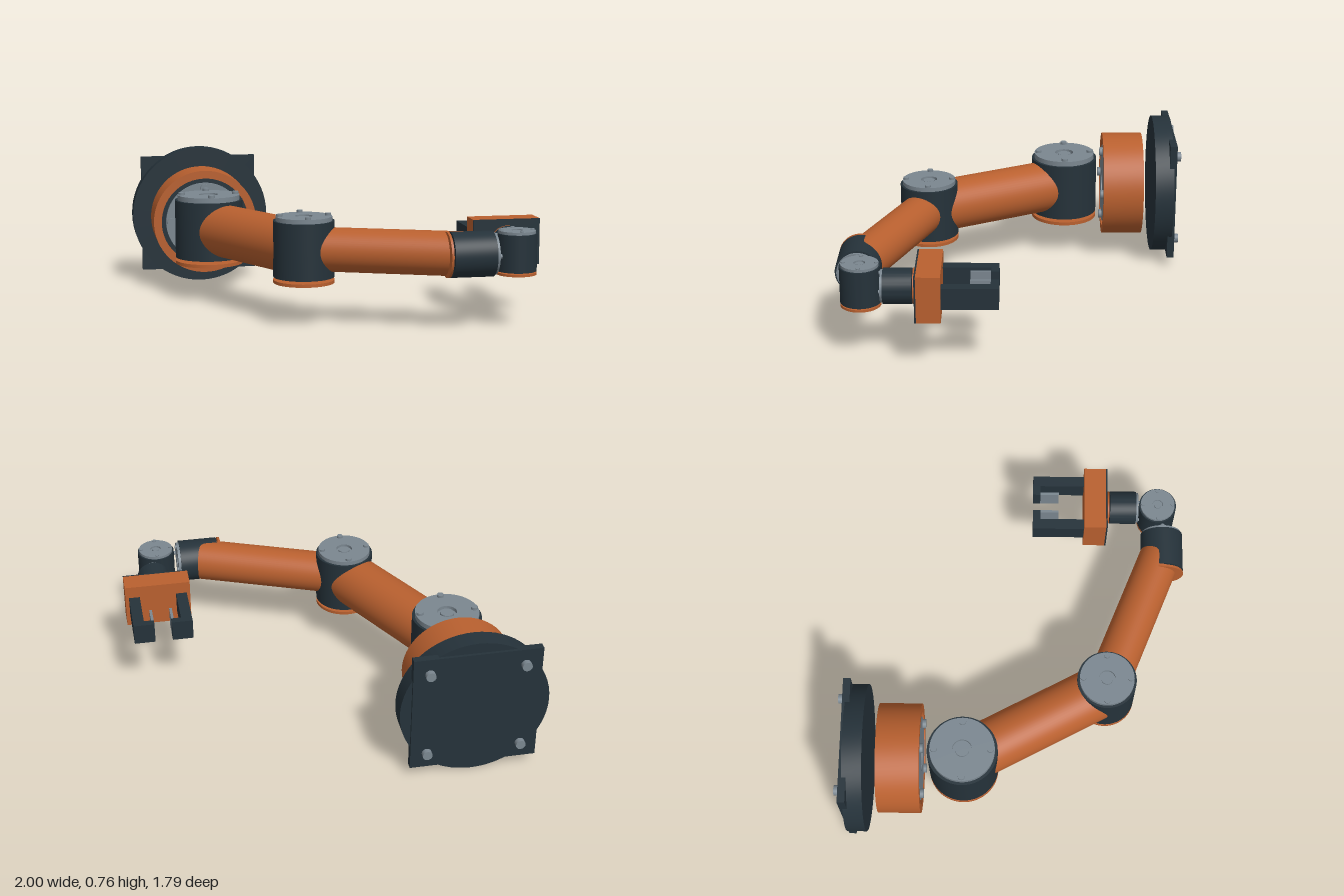
import * as THREE from 'three';
import { toCreasedNormals } from 'three/addons/utils/BufferGeometryUtils.js';

const material = (name, color) => {
  const m = new THREE.MeshStandardMaterial({ color });
  m.name = name;
  return m;
};

export function createModel() {
  const orange = material('burnt orange', 0xb9602f);
  const dark = material('dark slate', 0x25323a);
  const gray = material('steel gray', 0x7b8790);
  const model = new THREE.Group();
  model.name = 'robotArm';
  const AXIS = 0.385; // height of the arm's centre line

  const add = (parent, name, geometry, mat, x = 0, y = 0, z = 0) => {
    const mesh = new THREE.Mesh(geometry, mat);
    mesh.name = name;
    mesh.position.set(x, y, z);
    parent.add(mesh);
    return mesh;
  };

  // Sharp-edged turned solid from [radius, height] pairs
  const turned = (points) => toCreasedNormals(
    new THREE.LatheGeometry(points.map(([r, h]) => new THREE.Vector2(r, h)), 64), 0.6);
  const disc = (r, y0, y1) => turned([[0, y0], [r, y0], [r, y1], [0, y1]]);
  const ring = (inner, outer, y0, y1) => turned(
    [[inner, y0], [outer, y0], [outer, y1], [inner, y1], [inner, y0]]);

  const box = (parent, name, mat, x0, x1, y0, y1, z0, z1) => add(parent, name,
    new THREE.BoxGeometry(x1 - x0, y1 - y0, z1 - z0), mat,
    (x0 + x1) / 2, (y0 + y1) / 2, (z0 + z1) / 2);

  // Motor joint along local +y: body, bolted steel cap, shaft and rear cover
  function joint(name, { r, low, high, cap, capR = r * 0.92, bolt, gap, cover, coverR = r }) {
    const g = new THREE.Group();
    g.name = name;
    const hole = r * 0.28;
    add(g, 'jointBody', disc(r, low, high), dark);
    add(g, 'jointCap', ring(hole, capR, high, high + cap), gray);
    add(g, 'capHub', disc(hole * 0.7, high, high + cap * 0.8), gray);
    add(g, 'hubRecess', disc(hole, high, high + cap * 0.3), gray);
    for (let i = 0; i < 4; i++) {
      const a = i * Math.PI / 2;
      add(g, 'capBolt', new THREE.CylinderGeometry(r * 0.1, r * 0.1, bolt, 16), gray,
        Math.cos(a) * capR * 0.87, high + cap + bolt / 2, Math.sin(a) * capR * 0.87);
    }
    add(g, 'rearCover', ring(hole * 0.8, coverR, low - gap - cover, low - gap), orange);
    add(g, 'rearShaft', disc(hole * 0.8, low - gap - cover * 0.6, low), gray);
    model.add(g);
    return g;
  }

  // Wall mount: square plate, round flange and bolts
  const mount = new THREE.Group();
  mount.name = 'wallMount';
  model.add(mount);
  box(mount, 'mountPlate', dark, -0.945, -0.297, 0.06, 0.71, -0.873, -0.835);
  add(mount, 'mountFlange', disc(0.38, -0.05, 0.05), dark, -0.62, AXIS, -0.808)
    .rotation.x = Math.PI / 2;
  for (const sx of [-1, 1]) for (const sy of [-1, 1]) {
    add(mount, 'mountBolt', new THREE.CylinderGeometry(0.025, 0.025, 0.04, 24), gray,
      -0.62 + sx * 0.24, AXIS + sy * 0.24, -0.88).rotation.x = Math.PI / 2;
  }

  // Base joint inside its orange housing, facing +z
  const base = joint('baseJoint', {
    r: 0.243, low: -0.1, high: 0.092, cap: 0.018, capR: 0.215, bolt: 0.017,
    gap: 0.002, cover: 0.01, coverR: 0.22 });
  add(base, 'baseHousing', ring(0.24, 0.283, -0.108, 0.112), orange);
  base.position.set(-0.62, AXIS, -0.593);
  base.rotation.x = Math.PI / 2;

  // Shoulder and elbow, upright
  const shoulder = new THREE.Vector3(-0.622, AXIS, -0.268);
  const elbow = new THREE.Vector3(-0.227, AXIS, 0.472);
  const wrist = new THREE.Vector3(0.55, AXIS, 0.78);
  joint('shoulderJoint', {
    r: 0.181, low: -0.155, high: 0.155, cap: 0.027, bolt: 0.014,
    gap: 0.017, cover: 0.018 }).position.copy(shoulder);
  joint('elbowJoint', {
    r: 0.154, low: -0.14, high: 0.143, cap: 0.022, bolt: 0.012,
    gap: 0.014, cover: 0.016 }).position.copy(elbow);

  // Arm tubes between joint centres
  function tube(name, from, to, r) {
    const dir = to.clone().sub(from);
    const mesh = add(model, name, new THREE.CylinderGeometry(r, r, dir.length(), 64), orange);
    mesh.position.copy(from).add(to).multiplyScalar(0.5);
    mesh.quaternion.setFromUnitVectors(new THREE.Vector3(0, 1, 0), dir.normalize());
  }
  tube('upperArm', shoulder, elbow, 0.14);
  tube('forearm', elbow, wrist, 0.111);

  // Three wrist joints, facing +x, +y and +z
  const wristRoll = joint('firstWristJoint', {
    r: 0.113, low: -0.105, high: 0.107, cap: 0.014, bolt: 0.01,
    gap: 0.007, cover: 0.012 });
  wristRoll.position.copy(wrist);
  wristRoll.rotation.z = -Math.PI / 2;
  joint('secondWristJoint', {
    r: 0.1, low: -0.092, high: 0.095, cap: 0.014, bolt: 0.006,
    gap: 0.006, cover: 0.012 }).position.set(0.79, AXIS, 0.755);
  const wristTip = joint('thirdWristJoint', {
    r: 0.088, low: -0.07, high: 0.072, cap: 0.012, bolt: 0.006,
    gap: 0.004, cover: 0.008 });
  wristTip.position.set(0.82, AXIS, 0.57);
  wristTip.rotation.x = Math.PI / 2;

  // Gripper: palm with dark face plate and two hooked fingers
  const gripper = new THREE.Group();
  gripper.name = 'gripper';
  gripper.position.x = 0.82;
  model.add(gripper);
  box(gripper, 'palm', orange, -0.175, 0.175, 0.268, 0.505, 0.357, 0.475);
  box(gripper, 'palmFacePlate', dark, -0.175, 0.175, 0.268, 0.505, 0.475, 0.483);
  for (const s of [-1, 1]) {
    const part = (name, mat, inner, outer, z0, z1) => box(gripper, name, mat,
      Math.min(s * inner, s * outer), Math.max(s * inner, s * outer), 0.33, 0.44, z0, z1);
    part('finger', dark, 0.098, 0.156, 0.08, 0.357);
    part('fingerHook', dark, 0.046, 0.098, 0.08, 0.12);
    part('gripPad', gray, 0.046, 0.06, 0.12, 0.22);
  }
  return model;
}
